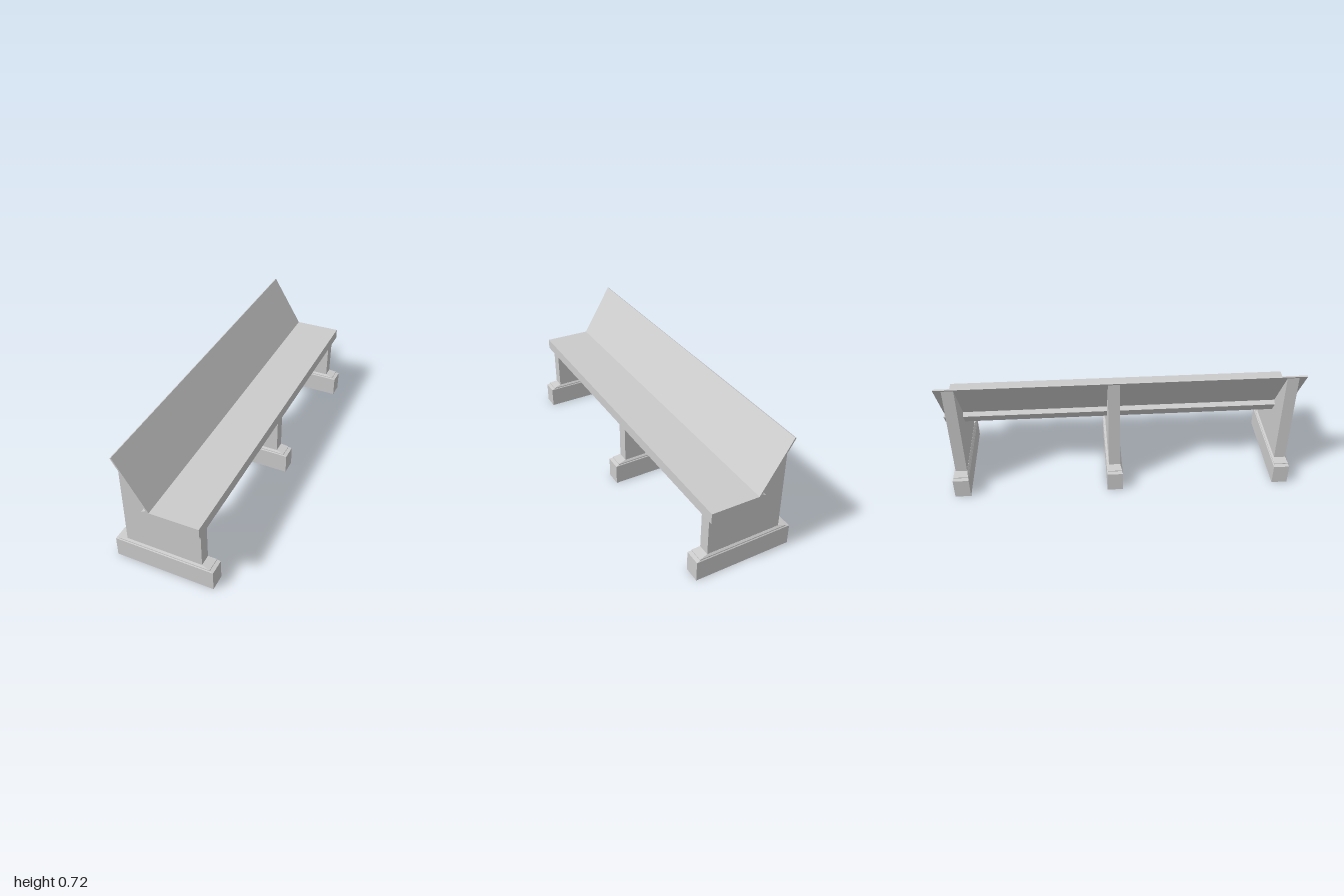
import * as THREE from 'three';

const material = new THREE.MeshStandardMaterial({ color: 0xcccccc, flatShading: true });

// Extrude an x-y outline along z, centred on z
function extrude(name, points, depth, z = 0) {
  const shape = new THREE.Shape(points.map(([x, y]) => new THREE.Vector2(x, y)));
  const geometry = new THREE.ExtrudeGeometry(shape, { depth, bevelEnabled: false });
  geometry.translate(0, 0, z - depth / 2);
  const mesh = new THREE.Mesh(geometry, material);
  mesh.name = name;
  return mesh;
}

// Stack rectangular sections [y, halfX, halfZ] into a closed solid
function stackRectangles(name, sections) {
  const positions = [];
  const index = [];
  for (const [y, hx, hz] of sections) {
    positions.push(-hx, y, hz, hx, y, hz, hx, y, -hz, -hx, y, -hz);
  }
  for (let s = 0; s < sections.length - 1; s++) {
    for (let i = 0; i < 4; i++) {
      const a = s * 4 + i;
      const b = s * 4 + (i + 1) % 4;
      index.push(a, b, b + 4, a, b + 4, a + 4);
    }
  }
  const t = (sections.length - 1) * 4;
  index.push(0, 2, 1, 0, 3, 2, t, t + 1, t + 2, t, t + 2, t + 3);
  const indexed = new THREE.BufferGeometry();
  indexed.setAttribute('position', new THREE.Float32BufferAttribute(positions, 3));
  indexed.setIndex(index);
  const geometry = indexed.toNonIndexed();
  geometry.computeVertexNormals();
  const mesh = new THREE.Mesh(geometry, material);
  mesh.name = name;
  return mesh;
}

export function createModel() {
  const bench = new THREE.Group();
  bench.name = 'bench';

  // Underside of the seat and back, shared by the seat and the posts
  const underside = [
    [-0.01, 0.381], [-0.042, 0.361], [-0.081, 0.424], [-0.056, 0.439],
  ];

  // Seat with front lip, rear ledge and thin sloping backrest
  bench.add(extrude('seatAndBackrest', [
    [0.232, 0.435], [-0.04, 0.43], [-0.217, 0.717], [-0.224, 0.713],
    ...underside.slice().reverse(),
    [0.216, 0.386], [0.222, 0.386], [0.222, 0.375], [0.233, 0.375],
  ], 2));

  // Three supports: upright slab on a moulded plinth
  for (const z of [-0.925, -0.045, 0.925]) {
    const support = new THREE.Group();
    support.name = 'support';
    support.position.z = z;
    support.add(extrude('post', [
      [-0.217, 0.138], [0.216, 0.138], [0.216, 0.386],
      ...underside,
      [-0.217, 0.702],
    ], 0.065));
    support.add(stackRectangles('plinth', [
      [0, 0.282, 0.045],
      [0.118, 0.282, 0.045],
      [0.123, 0.262, 0.041],
      [0.128, 0.262, 0.041],
      [0.138, 0.217, 0.033],
    ]));
    bench.add(support);
  }
  return bench;
}
